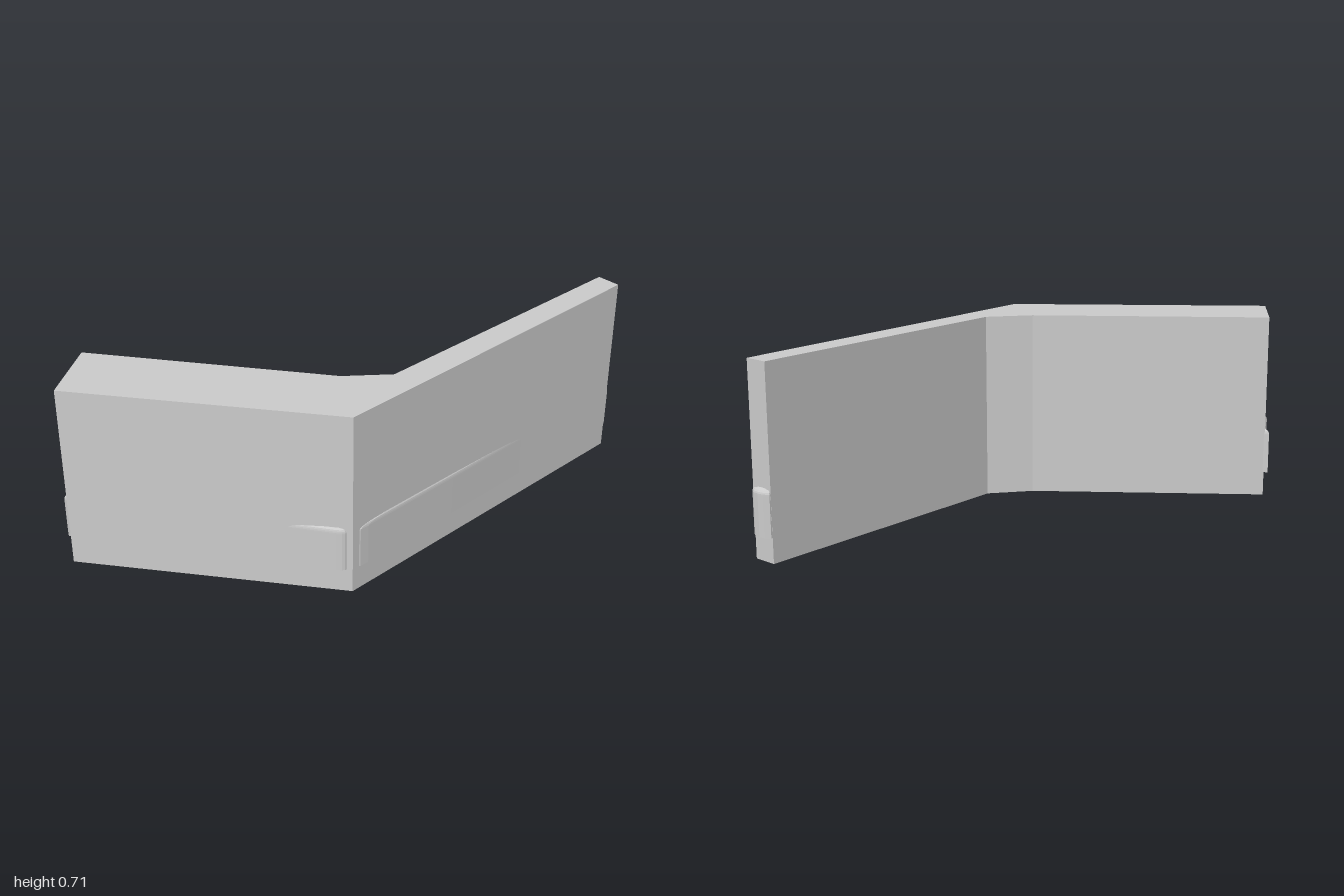
import * as THREE from 'three';

const material = new THREE.MeshStandardMaterial({ color: 0xcccccc, flatShading: true });

// Upright prism from a plan outline of [x, z] points
function prism(name, plan, y0, y1, steps = 1) {
  const shape = new THREE.Shape(plan.map(([x, z]) => new THREE.Vector2(x, -z)));
  const geo = new THREE.ExtrudeGeometry(shape, { depth: y1 - y0, steps, bevelEnabled: false });
  geo.rotateX(-Math.PI / 2).translate(0, y0, 0);
  const mesh = new THREE.Mesh(geo, material);
  mesh.name = name;
  return mesh;
}

// Raised band on the wall; its top rounds over towards an inner anchor [x, z]
function band(name, plan, [ax, az], shrink) {
  const y0 = 0.092, y1 = 0.265, round = 0.02;
  const mesh = prism(name, plan, y0, y1, 30);
  const p = mesh.geometry.attributes.position;
  for (let i = 0; i < p.count; i++) {
    const t = Math.max(0, (p.getY(i) - (y1 - round)) / round);
    const k = shrink * (1 - Math.sqrt(Math.max(0, 1 - t * t)));
    p.setX(i, p.getX(i) + (ax - p.getX(i)) * k);
    p.setZ(i, p.getZ(i) + (az - p.getZ(i)) * k);
  }
  mesh.geometry.computeVertexNormals();
  return mesh;
}

export function createModel() {
  const group = new THREE.Group();
  group.name = 'angledWall';

  // Bent wall with a chamfered inner corner
  group.add(prism('wall', [
    [0.39, -0.98], [0.48, -0.98], [0.48, 0.39], [-0.32, 0.995],
    [-0.47, 0.78], [0.26, 0.24], [0.375, 0.10],
  ], 0, 0.707));

  // Rounded band across the narrow end
  group.add(band('endBand', [
    [0.391, -0.96], [0.391, -0.985], [0.41, -0.997], [0.435, -1],
    [0.46, -0.997], [0.479, -0.985], [0.479, -0.96],
  ], [0.435, -0.96], 0.5));

  // Shallow band along the long outer face, fading into it
  group.add(band('sideBand', [
    [0.46, 0.365], [0.478, 0.365], [0.482, 0.355], [0.484, 0.32],
    [0.4835, -0.1], [0.479, -0.58], [0.46, -0.58],
  ], [0.465, -0.1], 0.25));

  // Tapering band on the front face beside the bend
  group.add(band('frontBand', [
    [0.462, 0.395], [0.463, 0.408], [0.456, 0.419], [0.44, 0.432],
    [0.375, 0.476], [0.30, 0.526], [0.38, 0.42],
  ], [0.39, 0.43], 0.25));

  // Band tips standing out of the wide end
  group.add(band('innerEndTip', [
    [-0.44, 0.775], [-0.465, 0.777], [-0.486, 0.784], [-0.475, 0.794],
    [-0.452, 0.805], [-0.435, 0.80],
  ], [-0.455, 0.79], 0.6));
  group.add(band('outerEndTip', [
    [-0.33, 0.955], [-0.352, 0.935], [-0.355, 0.983], [-0.347, 0.985], [-0.335, 0.968],
  ], [-0.345, 0.96], 0.6));

  return group;
}
